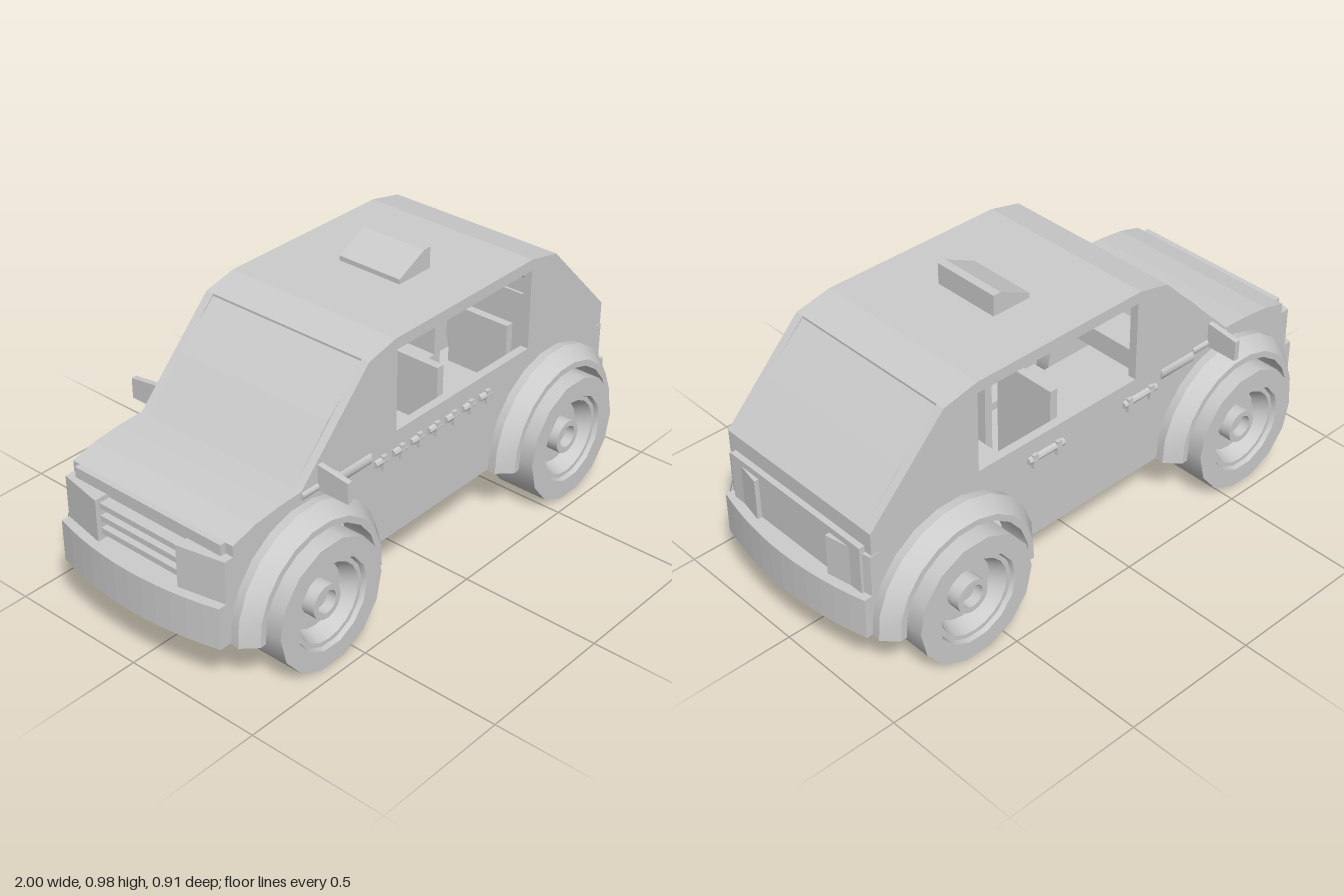
import * as THREE from 'three';
import { toCreasedNormals } from 'three/addons/utils/BufferGeometryUtils.js';

const mat = new THREE.MeshStandardMaterial({ color: 0xcccccc, side: THREE.DoubleSide });
const HALF = 0.337, WALL = 0.03, INNER = HALF - WALL;
const FRONT_X = -0.6, REAR_X = 0.62;

export function createModel() {
  const car = new THREE.Group();
  car.name = 'car';

  const add = (name, geo, parent = car) => {
    const mesh = new THREE.Mesh(geo, mat);
    mesh.name = name;
    parent.add(mesh);
    return mesh;
  };
  // Box given by its limits on each axis
  const box = (name, x0, x1, y0, y1, z0, z1) => {
    const g = new THREE.BoxGeometry(x1 - x0, y1 - y0, z1 - z0);
    g.translate((x0 + x1) / 2, (y0 + y1) / 2, (z0 + z1) / 2);
    return add(name, g);
  };
  const toShape = pts => new THREE.Shape(pts.map(p => new THREE.Vector2(p[0], p[1])));
  const extrude = (shape, depth) =>
    new THREE.ExtrudeGeometry(shape, { depth, bevelEnabled: false, curveSegments: 14 });
  // Side profile extruded across the car, from z0 to z1
  const across = (name, pts, z0, z1) => add(name, extrude(toShape(pts), z1 - z0).translate(0, 0, z0));
  // Thin skin following an open side profile
  const skin = (name, pts, t = 0.03) =>
    across(name, [...pts, ...pts.map(p => [p[0], p[1] - t]).reverse()], -INNER, INNER);
  // Plan outline (x, z) extruded from y0 to y1
  const plan = (name, pts, y0, y1) => {
    const g = extrude(toShape(pts.map(([x, z]) => [x, -z])), y1 - y0);
    return add(name, g.rotateX(-Math.PI / 2).translate(0, y0, 0));
  };
  // Cylinder along x
  const rod = (name, x0, x1, r, y, z, sides = 12) => {
    const g = new THREE.CylinderGeometry(r, r, x1 - x0, sides).rotateZ(Math.PI / 2);
    return add(name, toCreasedNormals(g.translate((x0 + x1) / 2, y, z), 0.7));
  };

  // Side panels with window opening and wheel arches
  const hood = [[-0.89, 0.535], [-0.8, 0.56], [-0.7, 0.571], [-0.6, 0.575]];
  const roof = [[-0.3, 0.88], [-0.18, 0.908], [0.5, 0.908], [0.63, 0.88]];
  const side = toShape([[-0.89, 0.2], ...hood, ...roof, [0.92, 0.58], [0.92, 0.5], [0.89, 0.5], [0.89, 0.2]]);
  side.absarc(REAR_X, 0.2, 0.26, 0, Math.PI, false);
  side.absarc(FRONT_X, 0.2, 0.26, 0, Math.PI, false);
  side.holes.push(new THREE.Path([[-0.17, 0.58], [-0.17, 0.868], [0.5, 0.868], [0.5, 0.58]]
    .map(p => new THREE.Vector2(p[0], p[1]))));
  for (const z of [INNER, -HALF]) add('sidePanel', extrude(side, WALL).translate(0, 0, z));

  // Outer skins
  skin('hood', hood);
  skin('windshield', [[-0.6, 0.575], [-0.45, 0.735], [-0.3, 0.872]]);
  skin('roof', roof);
  skin('rearWindow', [[0.63, 0.872], [0.78, 0.728], [0.92, 0.58]]);
  box('tailLip', 0.89, 0.92, 0.5, 0.58, -INNER, INNER);

  // Floor, narrowed beside the wheels
  box('floor', -0.89, 0.89, 0.2, 0.225, -0.25, 0.25);
  for (const s of [-1, 1]) {
    box('floorEdge', -0.34, 0.36, 0.2, 0.225, Math.min(s * 0.25, s * INNER), Math.max(s * 0.25, s * INNER));
  }

  // Bumpers, bowed in plan, and the blocks above them
  for (const s of [-1, 1]) {
    const bow = [];
    for (let i = 0; i <= 12; i++) {
      const u = i / 6 - 1;
      bow.push([s * (1 - 0.045 * u * u), u * HALF]);
    }
    const name = s < 0 ? 'front' : 'rear';
    plan(name + 'Bumper', [[s * 0.88, -HALF], ...bow, [s * 0.88, HALF]], 0.2, 0.348);
    for (const t of [-1, 1]) {
      plan(name + 'Light', [[s * 0.88, t * HALF], [s * 0.925, t * HALF], [s * 0.957, t * 0.17], [s * 0.88, t * 0.17]],
        0.348, 0.497);
    }
    box(name + 'Panel', ...(s < 0 ? [-0.9, -0.87] : [0.88, 0.94]), 0.348, 0.52, -INNER, INNER);
  }
  box('noseLip', -0.91, -0.87, 0.497, 0.535, -INNER, INNER);
  for (let i = 0; i < 3; i++) box('grilleBar', -0.94, -0.89, 0.37 + i * 0.045, 0.39 + i * 0.045, -0.17, 0.17);

  // Roof sign
  across('roofSign', [[0.09, 0.9], [0.09, 0.925], [0.21, 0.983], [0.24, 0.983], [0.24, 0.9]], -0.125, 0.125);

  // Wheels and flared fenders, turned about the z axis
  const lathe = (pts, segments, start, length) => toCreasedNormals(
    new THREE.LatheGeometry(pts.map(p => new THREE.Vector2(p[0], p[1])), segments, start, length)
      .rotateX(Math.PI / 2), 0.6);
  const R = 0.22 / Math.cos(Math.PI / 14);
  const tyreGeo = lathe([[0.15, 0.265], [R, 0.265], [R, 0.455], [0.158, 0.455], [0.15, 0.435], [0.15, 0.265]],
    14, Math.PI / 14, Math.PI * 2);
  const rimGeo = lathe([[0, 0.275], [0.152, 0.275], [0.152, 0.44], [0.135, 0.44], [0.112, 0.385], [0.06, 0.385],
    [0.06, 0.435], [0.04, 0.435], [0.04, 0.4], [0, 0.4]], 20, 0, Math.PI * 2);
  const fenderGeo = lathe([[0.25, 0.3], [0.31, 0.3], [0.315, 0.368], [0.272, 0.418], [0.25, 0.418], [0.25, 0.3]],
    11, Math.PI / 2 - 0.075, Math.PI + 0.15);
  for (const x of [FRONT_X, REAR_X]) {
    for (const turn of [0, Math.PI]) {
      const wheel = new THREE.Group();
      wheel.name = x < 0 ? 'frontWheel' : 'rearWheel';
      wheel.position.set(x, 0.22, 0);
      wheel.rotation.y = turn;
      add('tyre', tyreGeo, wheel);
      add('rim', rimGeo, wheel);
      add('fender', fenderGeo, wheel);
      car.add(wheel);
    }
  }

  // Door mirrors, hinge bars and belt-line trim
  for (const s of [-1, 1]) {
    const mirror = toShape([[s * 0.32, 0.545], [s * 0.455, 0.545], [s * 0.455, 0.618], [s * 0.32, 0.636]]);
    add('doorMirror', extrude(mirror, 0.02).rotateY(-Math.PI / 2).translate(-0.51, 0, 0));
    rod('mirrorArm', -0.6, -0.44, 0.015, 0.556, s * 0.33);
    rod('hinge', -0.44, -0.29, 0.032, 0.538, s * 0.313);
  }

  // Broken trim strip on the left, two door handles on the right
  for (let i = 0; i < 7; i++) {
    const x = -0.275 + i * 0.086;
    rod('trimStrip', x, x + 0.055, 0.013, 0.507, 0.338, 8);
    box('trimTab', x + 0.03, x + 0.05, 0.475, 0.525, 0.33, 0.35);
  }
  for (const x of [-0.19, 0.225]) {
    rod('doorHandle', x - 0.075, x + 0.075, 0.013, 0.507, -0.338, 8);
    for (const d of [-0.05, 0.05]) box('handleMount', x + d - 0.01, x + d + 0.01, 0.475, 0.525, -0.35, -0.33);
  }

  // Seats
  for (const [x, name] of [[0.11, 'frontSeat'], [0.47, 'rearSeat']]) {
    for (const z of [-0.15, 0.15]) {
      box(name + 'Back', x, x + 0.03, 0.225, 0.652, z - 0.12, z + 0.12);
      box(name + 'Cushion', x - 0.2, x, 0.4, 0.43, z - 0.12, z + 0.12);
    }
  }

  // Dashboard and steering wheel
  box('dashboard', -0.42, -0.28, 0.5, 0.575, -INNER, INNER);
  const steering = new THREE.Group();
  steering.name = 'steeringWheel';
  steering.position.set(-0.22, 0.67, 0.13);
  steering.rotation.set(0, Math.PI / 2, 0);
  add('steeringRim', new THREE.TorusGeometry(0.07, 0.011, 6, 18), steering);
  for (let i = 0; i < 3; i++) {
    const spoke = new THREE.BoxGeometry(0.014, 0.07, 0.012).translate(0, 0.035, 0);
    add('steeringSpoke', spoke.rotateZ(Math.PI + i * Math.PI * 2 / 3), steering);
  }
  car.add(steering);
  rod('steeringColumn', -0.36, -0.21, 0.014, 0.67, 0.13, 8).rotation.z = 0;

  return car;
}
